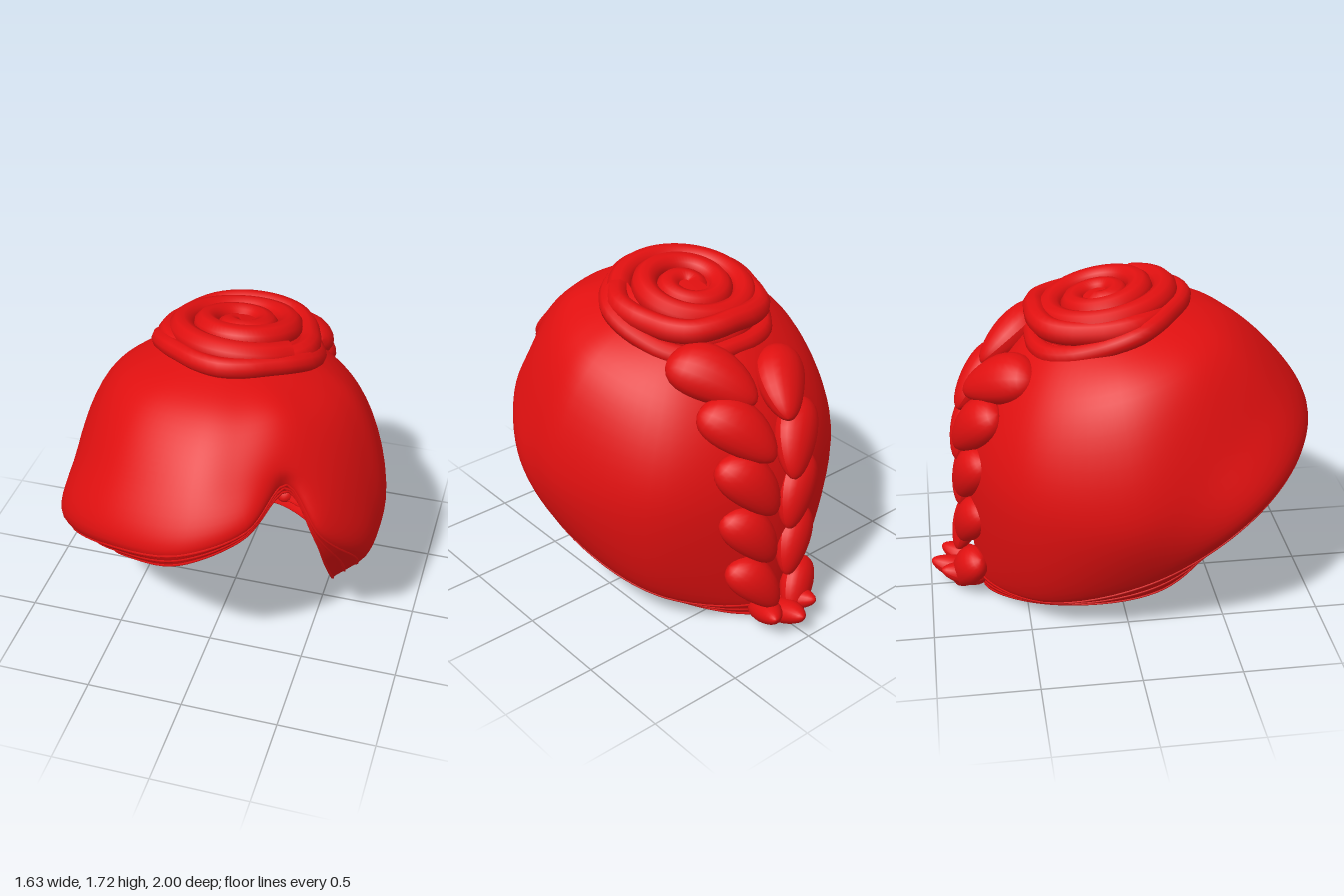
import * as THREE from 'three';

const V = (x, y, z) => new THREE.Vector3(x, y, z);
const hair = new THREE.MeshStandardMaterial({ color: 0xe01010, side: THREE.DoubleSide });
hair.name = 'red hair';

// Directions of the cap's ribs in degrees: front, left side, back, right side
const RIBS = [0, 17, 35, 52, 72, 90, 135, 180, 225, 268, 300, 330];
const closed = pts => new THREE.CatmullRomCurve3(pts, true);

// Oval ring of the upper cap, its height following a rule of z; dent sinks it above the parting
const oval = (rx, rz, cz, dent, height) => closed(RIBS.map(deg => {
  const a = THREE.MathUtils.degToRad(deg), d = dent * Math.exp(-(((deg - 35) / 12) ** 2));
  const z = cz + rz * (1 - d) * Math.cos(a);
  return V(rx * (1 - d) * Math.sin(a), height(z) + 1.5 * d, z);
}));

// Fullest line just above the hairline, then the hairline itself with its parting
const bulge = closed([V(0, 1.03, 1), V(.3, 1.13, .87), V(.42, 1.24, .62), V(.6, .99, .63),
  V(.77, .7, .37), V(.71, .4, .05), V(.5, .2, -.45), V(0, .15, -.75),
  V(-.5, .2, -.45), V(-.7, .42, .1), V(-.75, .75, .57), V(-.45, .93, .88)]);
const hairline = closed([V(0, .92, .97), V(.28, 1.04, .84), V(.42, 1.17, .6), V(.56, .9, .58),
  V(.59, .6, .42), V(.57, .25, .1), V(.4, .1, -.4), V(0, .02, -.72),
  V(-.4, .1, -.4), V(-.53, .22, .17), V(-.5, .55, .52), V(-.33, .77, .81)]);

const RINGS = [
  oval(.34, .37, -.03, 0, z => 1.53 + .16 * z),
  oval(.63, .62, -.03, .02, z => 1.34 + .28 * z),
  oval(.81, .8, .03, .1, z => .78 + .62 * Math.max(z, 0)),
  bulge,
  hairline,
];

const meridian = u => new THREE.CatmullRomCurve3([V(0, 1.6, 0), ...RINGS.map(r => r.getPoint(u))]);

function capGeometry(nu = 96, nv = 36) {
  const pos = [], idx = [];
  for (let i = 0; i < nu; i++) {
    const m = meridian(i / nu);
    for (let j = 0; j <= nv; j++) pos.push(...m.getPoint(j / nv).toArray());
  }
  for (let i = 0; i < nu; i++) for (let j = 0; j < nv; j++) {
    const a = i * (nv + 1) + j, c = ((i + 1) % nu) * (nv + 1) + j;
    idx.push(a, a + 1, c, c, a + 1, c + 1);
  }
  const g = new THREE.BufferGeometry();
  g.setAttribute('position', new THREE.Float32BufferAttribute(pos, 3));
  g.setIndex(idx);
  g.computeVertexNormals();
  return g;
}

// Teardrop lock: fat at the top, tapering and curling in at the bottom
function lockGeometry() {
  const g = new THREE.SphereGeometry(1, 18, 14), p = g.attributes.position;
  for (let i = 0; i < p.count; i++) {
    const y = p.getY(i), k = .9 + .2 * y;
    p.setXYZ(i, p.getX(i) * k + .2 * y * y, y, p.getZ(i) * k);
  }
  g.computeVertexNormals();
  return g;
}

export function createModel() {
  const root = new THREE.Group();
  root.name = 'braidedHair';
  const add = (parent, name, geo) => {
    const m = new THREE.Mesh(geo, hair);
    m.name = name;
    parent.add(m);
    return m;
  };

  // Swept cap, open at the face and neck
  add(root, 'hairCap', capGeometry());

  // Fine strands following the hairline
  for (const v of [.86, .93, 1]) {
    const pts = [];
    for (let i = 0; i < 60; i++) pts.push(meridian(i / 60).getPoint(v));
    add(root, 'hairlineStrand', new THREE.TubeGeometry(closed(pts), 120, .007, 5, true));
  }

  // Rose-shaped bun, leaning back on the crown
  const bun = new THREE.Group();
  bun.name = 'bun';
  bun.position.set(.015, 1.535, -.05);
  bun.rotation.x = -.21;
  root.add(bun);
  add(bun, 'bunCore', new THREE.SphereGeometry(1, 32, 16)).scale.set(.36, .12, .36);
  const coil = [];
  for (let i = 0; i <= 60; i++) {
    const t = i / 60, a = t * Math.PI * 5 + .6, r = .34 - .3 * t;
    coil.push(V(Math.cos(a) * r, .05 + .065 * Math.sin(Math.min(1, t * 2.2) * Math.PI / 2) - .04 * t, Math.sin(a) * r));
  }
  add(bun, 'bunCoil', new THREE.TubeGeometry(new THREE.CatmullRomCurve3(coil), 160, .065, 10));
  // Loose wavy wraps around the base of the bun
  [[.385, .05, -.01, .03], [.345, .06, .045, -.05]].forEach(([r, tube, y, tilt]) => {
    const pts = [];
    for (let i = 0; i < 20; i++) {
      const a = i / 20 * Math.PI * 2, w = r + .012 * Math.sin(5 * a);
      pts.push(V(w * Math.cos(a), y + tilt * Math.sin(a) + .01 * Math.sin(3 * a), w * Math.sin(a)));
    }
    add(bun, 'bunWrap', new THREE.TubeGeometry(closed(pts), 60, tube, 10, true));
  });

  // Plait of broad alternating locks down the back
  const braid = new THREE.Group();
  braid.name = 'braid';
  root.add(braid);
  const path = new THREE.CatmullRomCurve3([V(.04, 1.38, -.5), V(.04, 1.2, -.66), V(.04, .95, -.75),
    V(.05, .7, -.77), V(.05, .42, -.78), V(.03, .17, -.81)]);
  const lock = lockGeometry(), n = 10;
  for (let i = 0; i < n; i++) {
    const t = i / (n - 1), s = i % 2 ? -1 : 1, size = 1 - .28 * t;
    const d = path.getTangentAt(t);
    const holder = new THREE.Group();
    holder.name = 'braidLock';
    holder.position.copy(path.getPointAt(t));
    holder.rotation.x = Math.atan2(-d.z, -d.y);
    const m = add(holder, 'lock', lock);
    m.position.set(s * .17 * size, 0, .01);
    m.rotation.set(.15, -s * .3, -s * .65);
    m.scale.set(s * .155 * size, .235 * size, .12 * size);
    braid.add(holder);
  }
  // Short tufts at the braid's end, tips flicking out
  for (let i = -1; i <= 1; i++) {
    const tuft = add(braid, 'braidTuft', lock);
    tuft.position.set(.02 + i * .09, .1 + .015 * Math.abs(i), -.86 + .05 * Math.abs(i));
    tuft.rotation.set(1.9, 0, i * .3);
    tuft.scale.set(.08, .14, .07);
  }
  return root;
}
